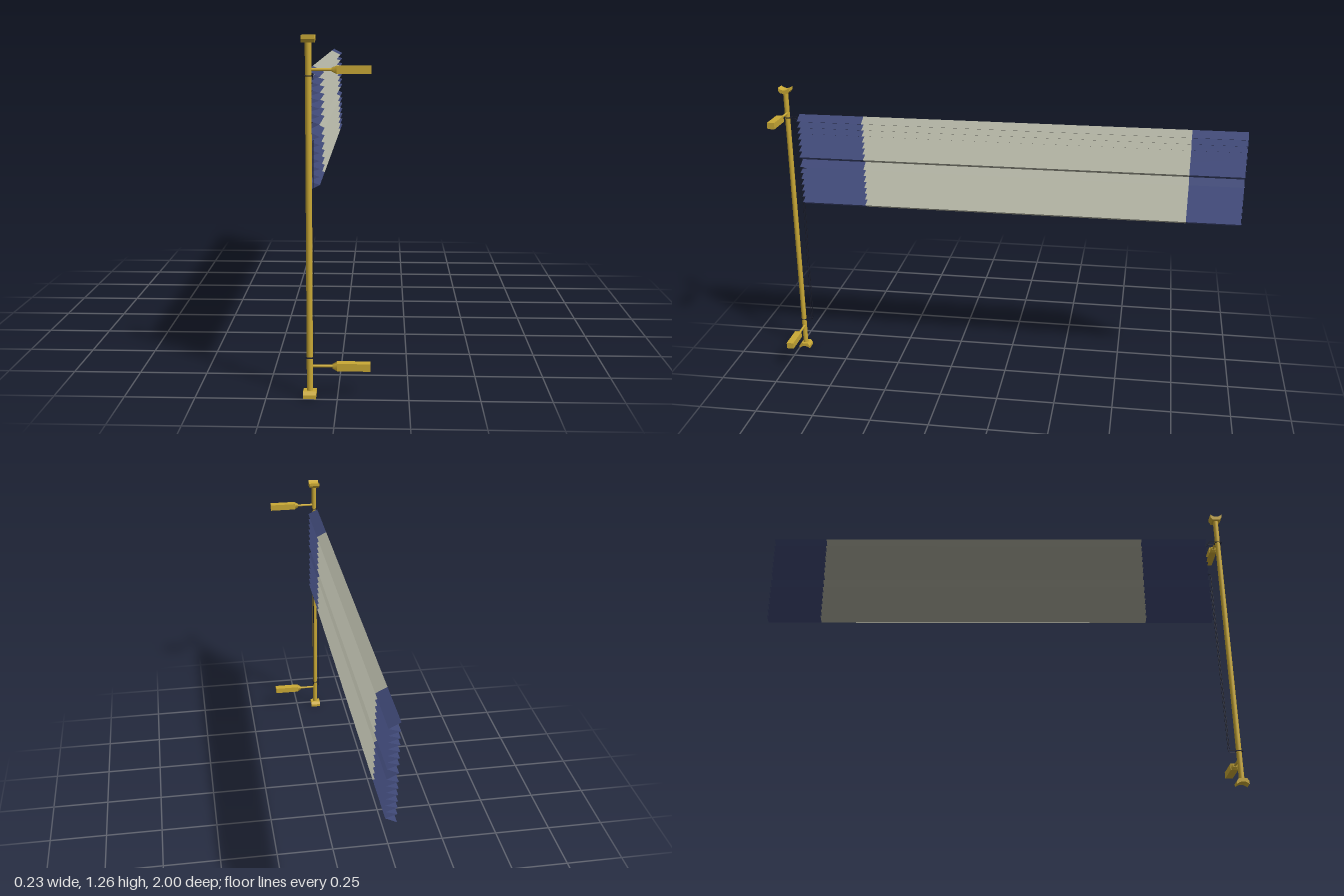
import * as THREE from 'three';

export function createModel() {
  const gold = new THREE.MeshStandardMaterial({ color: 0xcaa935 });
  gold.name = 'gold';
  const blue = new THREE.MeshStandardMaterial({ color: 0x3f4876, side: THREE.DoubleSide });
  blue.name = 'navy fabric';
  const grey = new THREE.MeshStandardMaterial({ color: 0xacad9e, side: THREE.DoubleSide });
  grey.name = 'grey fabric';
  const dark = new THREE.MeshStandardMaterial({ color: 0x1c1e2c });
  dark.name = 'dark cord';

  const group = new THREE.Group();
  const add = (name, geometry, material, x = 0, y = 0, z = 0) => {
    const mesh = new THREE.Mesh(geometry, material);
    mesh.name = name;
    mesh.position.set(x, y, z);
    group.add(mesh);
    return mesh;
  };

  const px = -0.097, pz = 0.974;

  // Upright pole
  add('pole', new THREE.CylinderGeometry(0.011, 0.011, 1.228, 20), gold, px, 0.631, pz);

  // Saddle-shaped end caps, hollowed on the outer side
  const saddle = new THREE.Shape();
  saddle.moveTo(-0.025, 0.025);
  saddle.lineTo(-0.025, 0.012);
  saddle.lineTo(-0.016, 0);
  saddle.lineTo(0.016, 0);
  saddle.lineTo(0.025, 0.012);
  saddle.lineTo(0.025, 0.025);
  saddle.quadraticCurveTo(0, 0.004, -0.025, 0.025);
  const capGeo = new THREE.ExtrudeGeometry(saddle, { depth: 0.046, bevelEnabled: false, curveSegments: 10 });
  capGeo.translate(0, 0, -0.023);
  capGeo.rotateY(Math.PI / 2);
  add('topCap', capGeo, gold, px, 1.237, pz);
  add('bottomCap', capGeo, gold, px, 0.025, pz).rotation.x = Math.PI;

  // Two side handles: stem, collar and square grip
  for (const [name, y] of [['upper', 1.147], ['lower', 0.112]]) {
    add(name + 'HandleStem', new THREE.CylinderGeometry(0.005, 0.005, 0.08, 12).rotateZ(Math.PI / 2), gold, -0.055, y, pz - 0.002);
    add(name + 'HandleCollar', new THREE.CylinderGeometry(0.019, 0.009, 0.016, 4, 1)
      .rotateY(Math.PI / 4).rotateZ(-Math.PI / 2), gold, -0.01, y, pz - 0.002);
    add(name + 'HandleGrip', new THREE.BoxGeometry(0.117, 0.027, 0.031), gold, 0.0565, y, pz - 0.002);
  }

  // Pleat profile: two stacks, each with taller first and last folds
  const inner = -0.105, outer = -0.062, teeth = 7, end = 0.022;
  const profile = [];
  for (const [top, bottom] of [[1.141, 0.935], [0.935, 0.725]]) {
    const pitch = (top - bottom - 2 * end) / (teeth - 1);
    profile.push([inner, top]);
    for (let i = 0; i < teeth; i++) {
      const y = top - end - i * pitch;
      profile.push([outer, y]);
      if (i < teeth - 1) profile.push([inner, y - pitch / 2]);
    }
  }
  profile.push([inner, 0.725]);

  // Sharp-folded sheet swept along z
  const pleats = (z0, z1) => {
    const pos = [];
    for (let i = 0; i < profile.length - 1; i++) {
      const [ax, ay] = profile[i], [bx, by] = profile[i + 1];
      const a0 = [ax, ay, z0], a1 = [ax, ay, z1], b0 = [bx, by, z0], b1 = [bx, by, z1];
      const quad = [a0, a1, b1, a0, b1, b0];
      for (const p of quad) pos.push(...p);
    }
    const g = new THREE.BufferGeometry();
    g.setAttribute('position', new THREE.Float32BufferAttribute(pos, 3));
    g.computeVertexNormals();
    return g;
  };
  add('frontPleats', pleats(0.635, 0.922), blue);
  add('middlePleats', pleats(-0.77, 0.635), grey);
  add('rearPleats', pleats(-1, -0.77), blue);

  // Cords running from the pole to the pleats
  const cord = (name, points) => {
    const path = new THREE.CurvePath();
    const v = points.map((p) => new THREE.Vector3(...p));
    for (let i = 0; i < v.length - 1; i++) path.add(new THREE.LineCurve3(v[i], v[i + 1]));
    add(name, new THREE.TubeGeometry(path, 80, 0.0016, 5), dark);
  };
  const xl = -0.109, xr = -0.085;
  cord('leftCord', [[xl, 0.145, 0.99], [xl, 0.145, 0.934], [xl, 0.96, 0.927], [inner, 0.96, 0.915]]);
  cord('rightCord', [[xr, 0.145, 0.99], [xr, 0.145, 0.934], [xr, 0.9, 0.927], [xr, 0.9, 0.9]]);
  for (const [side, x] of [['left', xl], ['right', xr]]) {
    cord(side + 'TopCord', [[x, 1.127, 0.99], [x, 1.127, 0.937], [x, 1.11, 0.92]]);
  }
  for (const [name, y] of [['topTie', 1.127], ['bottomTie', 0.145]]) {
    add(name, new THREE.TorusGeometry(0.0125, 0.0018, 6, 20).rotateX(Math.PI / 2), dark, px, y, pz);
    cord(name + 'Front', [[xl, y, 0.99], [xr, y, 0.99]]);
  }

  return group;
}
